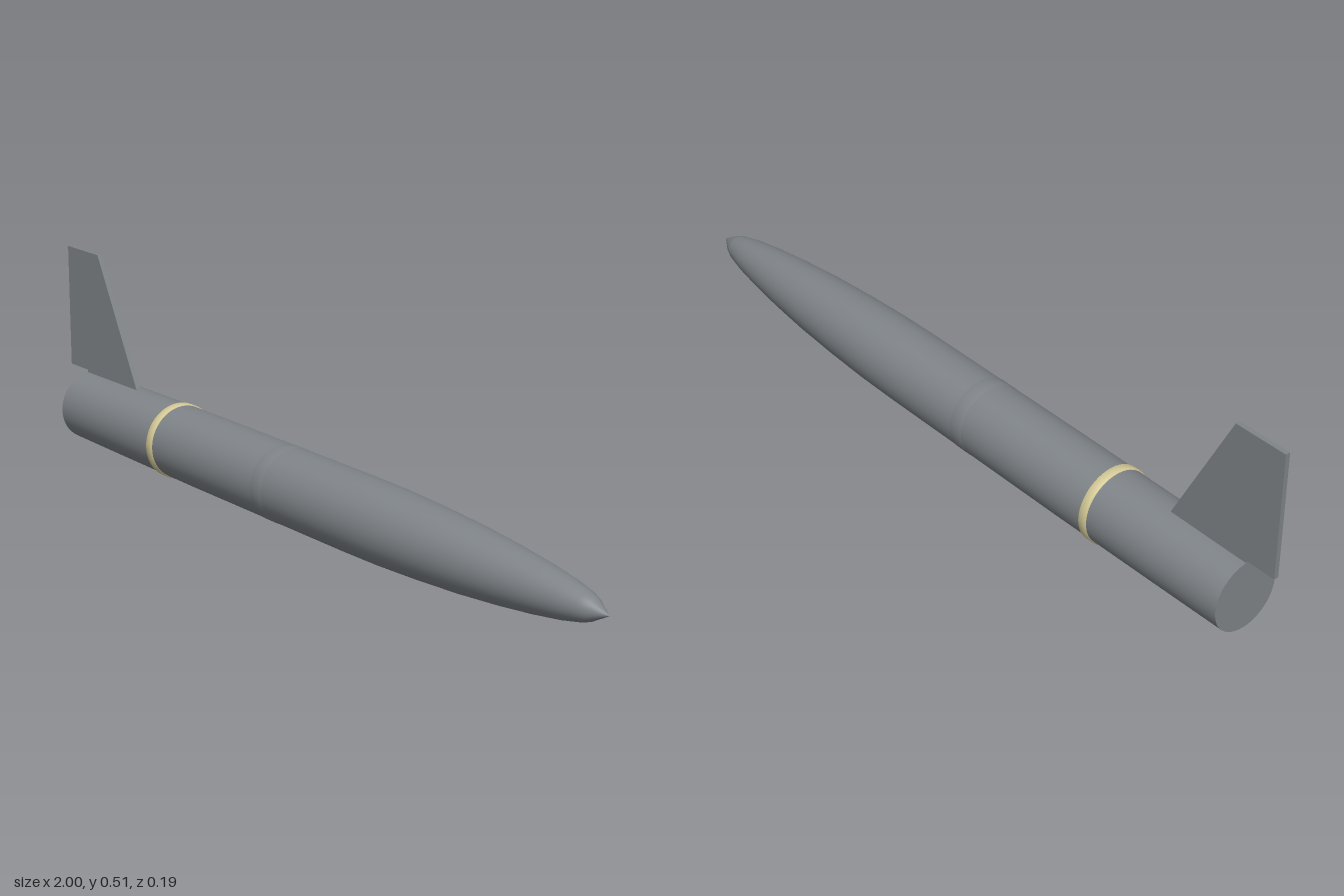
import * as THREE from 'three';

const AXIS_Y = 0.097;

export function createModel() {
  const model = new THREE.Group();
  const grey = new THREE.MeshStandardMaterial({ color: 0x7f8488 });
  grey.name = 'steel grey';
  const cream = new THREE.MeshStandardMaterial({ color: 0xd6cb98 });
  cream.name = 'pale yellow';

  // Turns a list of [x, radius] into a surface of revolution along the x axis
  const turned = (name, profile, material) => {
    const points = profile.map(([x, r]) => new THREE.Vector2(r, x));
    const mesh = new THREE.Mesh(new THREE.LatheGeometry(points, 48), material);
    mesh.name = name;
    mesh.rotation.z = -Math.PI / 2;
    mesh.position.y = AXIS_Y;
    model.add(mesh);
    return mesh;
  };

  // Cylindrical body with a long curved nose and a short conical tip
  turned('body', [
    [-0.92, 0.09], [-0.7, 0.092], [-0.4, 0.094], [0.2, 0.094], [0.32, 0.0925],
    [0.45, 0.0875], [0.58, 0.08], [0.7, 0.0695], [0.8, 0.058], [0.88, 0.046],
    [0.935, 0.034], [0.955, 0.026], [1, 0],
  ], grey);

  // Flat tail plate
  const tail = new THREE.Mesh(new THREE.CircleGeometry(0.09, 48), grey);
  tail.name = 'tailPlate';
  tail.rotation.y = -Math.PI / 2;
  tail.position.set(-0.92, AXIS_Y, 0);
  model.add(tail);

  // Painted band and the nearly flush joint ring
  const ring = (name, x, width, r, material) => turned(name, [
    [x - width / 2, 0.09], [x - width / 2, r], [x + width / 2, r], [x + width / 2, 0.09],
  ], material);
  ring('yellowBand', -0.51, 0.022, 0.0965, cream);
  ring('jointRing', -0.07, 0.04, 0.0948, grey);

  // Swept upright tail fin
  const outline = new THREE.Shape([
    new THREE.Vector2(-1, 0.193), new THREE.Vector2(-0.92, 0.193),
    new THREE.Vector2(-0.92, 0.18), new THREE.Vector2(-0.69, 0.18),
    new THREE.Vector2(-0.695, 0.193), new THREE.Vector2(-0.86, 0.514),
    new THREE.Vector2(-1, 0.514),
  ]);
  const finGeometry = new THREE.ExtrudeGeometry(outline, { depth: 0.012, bevelEnabled: false });
  finGeometry.translate(0, 0, -0.006);
  const fin = new THREE.Mesh(finGeometry, grey);
  fin.name = 'tailFin';
  model.add(fin);

  return model;
}
